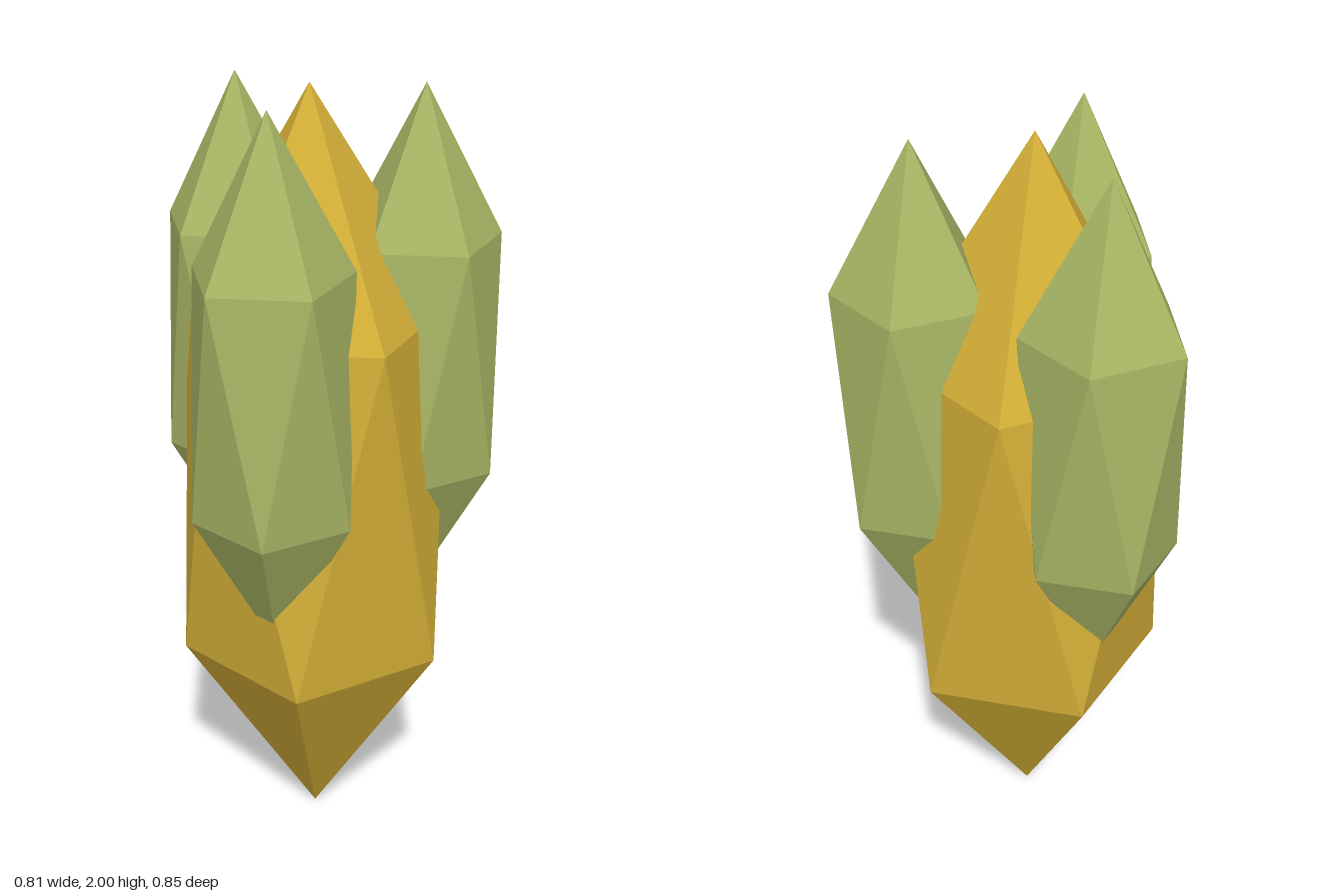
import * as THREE from 'three';

const gold = new THREE.MeshStandardMaterial({ color: 0xd4af37, flatShading: true });
const green = new THREE.MeshStandardMaterial({ color: 0xa9b665, flatShading: true });

// Icosahedron standing on a point, with an upper-ring corner towards +x, stretched tall
function crystal(name, material, radius, halfHeight, x, y, z) {
  const geometry = new THREE.IcosahedronGeometry(1, 0);
  geometry.rotateZ(-Math.atan(2 / (1 + Math.sqrt(5))));
  geometry.scale(radius, halfHeight, radius);
  const mesh = new THREE.Mesh(geometry, material);
  mesh.name = name;
  mesh.position.set(x, y, z);
  return mesh;
}

export function createModel() {
  const group = new THREE.Group();
  group.name = 'crystalCluster';

  // Large central crystal
  group.add(crystal('mainCrystal', gold, 0.383, 1, -0.065, 1, 0));

  // Three small crystals spaced evenly around it
  const orbit = 0.274;
  ['leftCrystal', 'frontRightCrystal', 'backRightCrystal'].forEach((name, i) => {
    const a = (i * Math.PI * 2) / 3;
    group.add(crystal(name, green, 0.22, 0.66,
      -0.065 + orbit * Math.cos(a), 1.33, orbit * Math.sin(a)));
  });
  return group;
}
